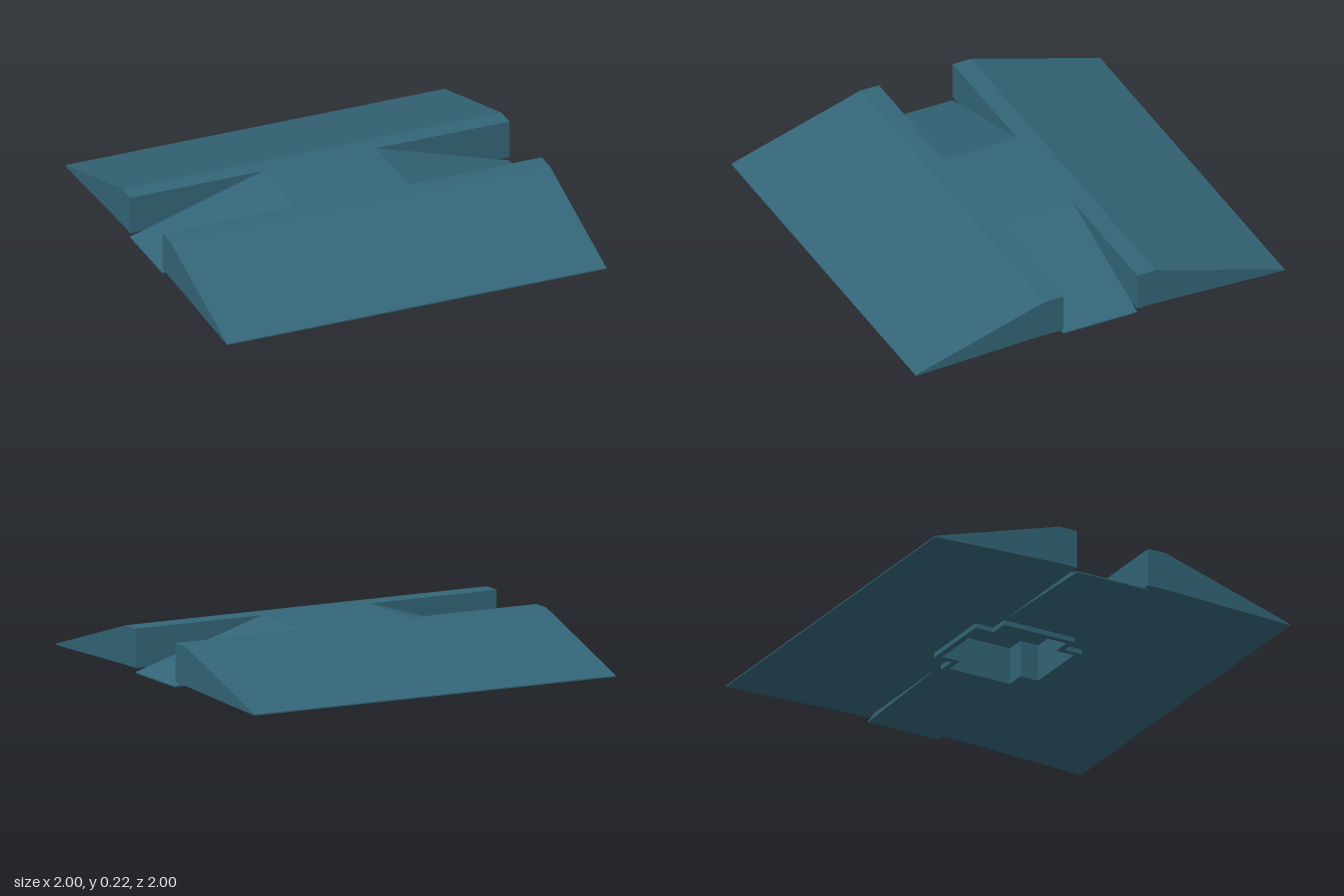
import * as THREE from 'three';

const TOP = 0.22, UNDER = 0.025, ROOF = 0.19, LIP = 0.006;
const EDGE = 0.3, HALF = 0.2, WALL = 0.03;   // plateau edge, channel half width, rim thickness

const material = new THREE.MeshStandardMaterial({ color: 0x336577, flatShading: true });

const shapeOf = points => new THREE.Shape(points.map(([x, y]) => new THREE.Vector2(x, y)));
const extrude = (shape, depth) => new THREE.ExtrudeGeometry(shape, { depth, bevelEnabled: false });

// Plus-shaped outline reaching to "a" with arms of half width "b"
const plus = (a, b) => [
  [a, -b], [a, b], [b, b], [b, a], [-b, a], [-b, b],
  [-a, b], [-a, -b], [-b, -b], [-b, -a], [b, -a], [b, -b],
];

// Length profile of the channel ramps with a pocket of half width p
const channelProfile = p => shapeOf([
  [-1, 0], [-EDGE, UNDER], [-p, UNDER], [-p, ROOF], [p, ROOF], [p, UNDER], [EDGE, UNDER],
  [1, 0], [1, LIP], [EDGE, TOP], [-EDGE, TOP], [-1, LIP],
]);

export function createModel() {
  const model = new THREE.Group();
  const add = (name, geometry, parent = model) => {
    const mesh = new THREE.Mesh(geometry, material);
    mesh.name = name;
    parent.add(mesh);
    return mesh;
  };

  const long = EDGE - WALL, short = HALF - WALL;   // pocket sizes

  // Channel ramps running down to left and right, in three strips around the pocket
  add('channelRamp', extrude(channelProfile(long), 2 * short).translate(0, 0, -short));
  for (const z of [-HALF, short]) {
    add('channelRampSide', extrude(channelProfile(short), WALL).translate(0, 0, z));
  }

  // Wide ramps at front and back: solid sides and a middle cut by the pocket
  const slope = [[EDGE, TOP], [HALF, TOP]];
  const tip = [[EDGE, UNDER], [1, 0], [1, LIP]];
  const solid = shapeOf([[HALF, UNDER], ...tip, ...slope]);
  const hollow = shapeOf([[HALF, ROOF], [long, ROOF], [long, UNDER], ...tip, ...slope]);
  for (const [name, turn] of [['frontRamp', 0], ['backRamp', Math.PI]]) {
    const ramp = new THREE.Group();
    ramp.name = name;
    ramp.rotation.y = turn;
    const strip = (label, shape, x0, x1) =>
      add(label, extrude(shape, x1 - x0).rotateY(-Math.PI / 2).translate(x1, 0, 0), ramp);
    strip('rampRight', solid, -1, -short);
    strip('rampMiddle', hollow, -short, short);
    strip('rampLeft', solid, short, 1);
    model.add(ramp);
  }

  // Plus-shaped rim standing on the ground around the pocket
  const rim = shapeOf(plus(EDGE, HALF));
  rim.holes.push(new THREE.Path(plus(long, short).map(([x, y]) => new THREE.Vector2(x, y))));
  add('pocketRim', extrude(rim, UNDER).rotateX(-Math.PI / 2));

  return model;
}
